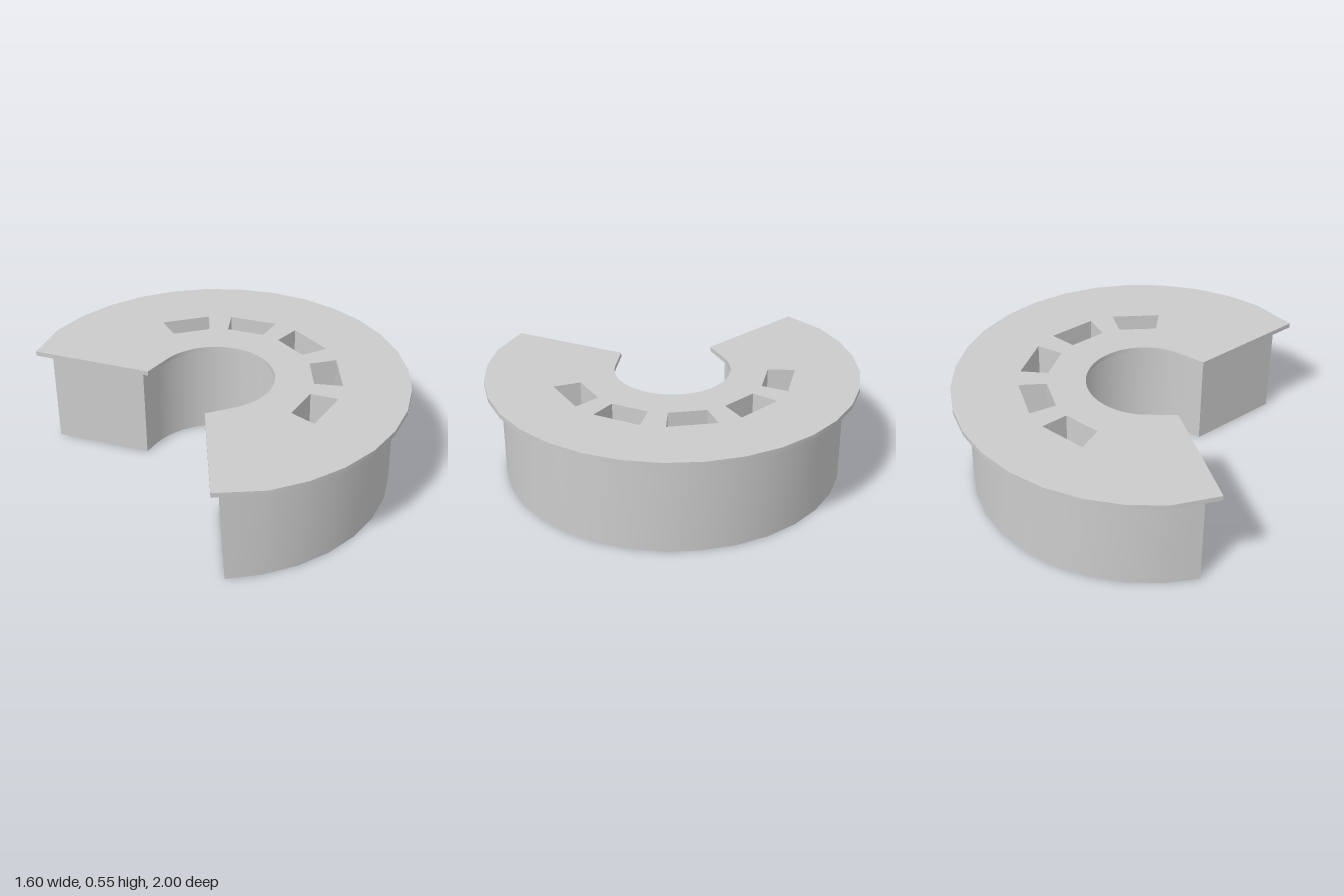
import * as THREE from 'three';
import { mergeGeometries, toCreasedNormals } from 'three/addons/utils/BufferGeometryUtils.js';

const FLOOR = 0.25, UNDERSIDE = 0.525, TOP = 0.55;
const CENTRE_X = -0.205;
const rad = THREE.MathUtils.degToRad;

// Arc points around the ring centre, angles in degrees
function arc(radius, from, to, steps) {
  return Array.from({ length: steps + 1 }, (_, i) => {
    const a = rad(from + (to - from) * i / steps);
    return new THREE.Vector2(radius * Math.cos(a), radius * Math.sin(a));
  });
}

// Counter-clockwise C-shaped outline, open towards -x
function cOutline(outerR, innerR, outerEnd, innerEnd) {
  const corner = ([x, y], s) => new THREE.Vector2(x, y * s);
  return [
    corner(outerEnd, -1), ...arc(outerR, -112.5, 112.5, 20), corner(outerEnd, 1),
    corner(innerEnd, 1), ...arc(innerR, 110, -110, 40), corner(innerEnd, -1),
  ];
}

// Upright wall along a closed outline, facing to the right of its direction
function wall(points, y0, y1) {
  const pos = [];
  points.forEach((a, i) => {
    const b = points[(i + 1) % points.length];
    pos.push(a.x, a.y, y0, b.x, b.y, y0, b.x, b.y, y1);
    pos.push(a.x, a.y, y0, b.x, b.y, y1, a.x, a.y, y1);
  });
  const geo = new THREE.BufferGeometry();
  geo.setAttribute('position', new THREE.Float32BufferAttribute(pos, 3));
  return toCreasedNormals(geo, 0.5);
}

// Flat face at a height, facing up or down
function cap(points, y, up, holes = []) {
  const shape = new THREE.Shape(points);
  holes.forEach((h) => shape.holes.push(new THREE.Path(h)));
  const geo = new THREE.ShapeGeometry(shape);
  if (!up) geo.setIndex(Array.from(geo.index.array).reverse());
  geo.translate(0, 0, y);
  const flat = geo.toNonIndexed();
  flat.deleteAttribute('uv');
  flat.computeVertexNormals();
  return flat;
}

export function createModel() {
  const group = new THREE.Group();
  const material = new THREE.MeshStandardMaterial({ color: 0xcccccc });
  const add = (name, parts) => {
    const geo = mergeGeometries(parts);
    geo.rotateX(-Math.PI / 2);
    geo.translate(CENTRE_X, 0, 0);
    const mesh = new THREE.Mesh(geo, material);
    mesh.name = name;
    group.add(mesh);
  };

  const plate = cOutline(1, 0.31, [-0.595, 0.785], [-0.24, 0.25]);
  const body = cOutline(0.918, 0.39, [-0.51, 0.765], [-0.22, 0.33]);

  // Five wedge-shaped pockets fanned around the ring
  const pockets = [-68, -34, 0, 34, 68].map((a) => [
    ...arc(0.655, a - 11.4, a + 11.4, 1),
    ...arc(0.51, a + 11.4, a - 11.4, 1),
  ]);

  // Thick lower ring
  add('body', [wall(body, 0, UNDERSIDE), cap(body, 0, false)]);

  // Thin overhanging top plate
  add('topPlate', [
    wall(plate, UNDERSIDE, TOP),
    cap(plate, TOP, true, pockets),
    cap(plate, UNDERSIDE, false, [body]),
  ]);

  // Pocket walls and floors
  pockets.forEach((p) => {
    add('pocket', [wall([...p].reverse(), FLOOR, TOP), cap(p, FLOOR, true)]);
  });
  return group;
}
